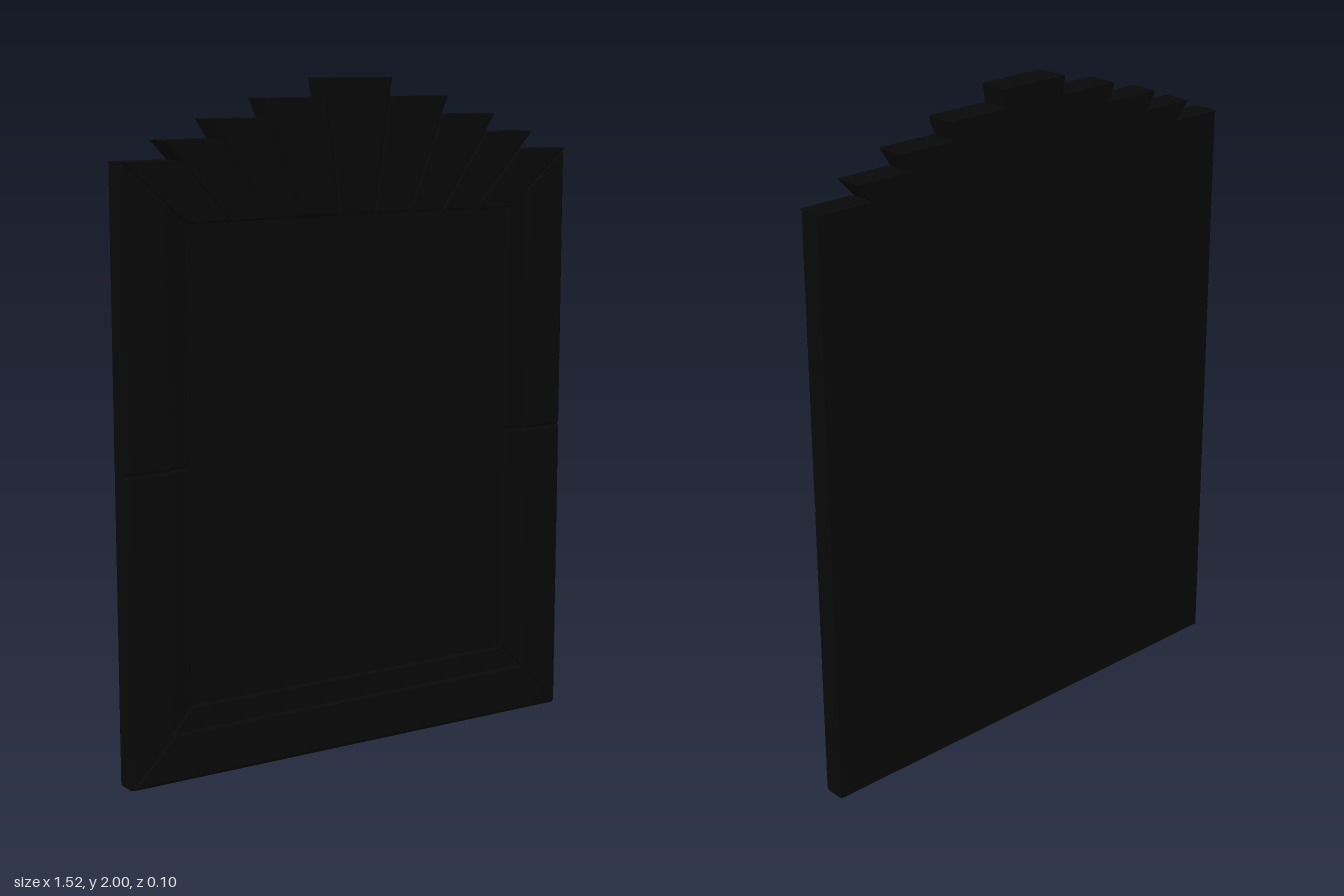
import * as THREE from 'three';

const BACK = -0.037, FRONT = 0.038, BEVEL = 0.006;
const material = new THREE.MeshStandardMaterial({ color: 0x080808 });

// Block swept from end line a to end line b (each [outer, inner], counterclockwise
// round the frame). Profile points are [t across the frame, z]; both ends are chamfered.
function block(name, a, b, profile) {
  const lerp = THREE.MathUtils.lerp;
  const at = (line, t, k) => lerp(line[0][k], line[1][k], t);
  const length = Math.hypot(at(b, 0.5, 0) - at(a, 0.5, 0), at(b, 0.5, 1) - at(a, 0.5, 1));
  const d = 0.008 / length;
  const rings = [0, d, 1 - d, 1].map((v) => profile.map(([t, z]) => [
    lerp(at(a, t, 0), at(b, t, 0), v),
    lerp(at(a, t, 1), at(b, t, 1), v),
    z > 0 && (v === 0 || v === 1) ? z - BEVEL : z,
  ]));
  const pos = [];
  const tri = (...pts) => pts.forEach((p) => pos.push(...p));
  const n = profile.length;
  for (let i = 0; i < 3; i++) {
    for (let j = 0; j < n; j++) {
      const k = (j + 1) % n, p = rings[i], q = rings[i + 1];
      tri(p[j], q[j], q[k]);
      tri(p[j], q[k], p[k]);
    }
  }
  for (let j = 1; j < n - 1; j++) {
    tri(rings[0][0], rings[0][j], rings[0][j + 1]);
    tri(rings[3][0], rings[3][j + 1], rings[3][j]);
  }
  const geometry = new THREE.BufferGeometry();
  geometry.setAttribute('position', new THREE.Float32BufferAttribute(pos, 3));
  geometry.computeVertexNormals();
  const mesh = new THREE.Mesh(geometry, material);
  mesh.name = name;
  return mesh;
}

const flip = (line) => line.map(([x, y]) => [-x, y]);

export function createModel() {
  const group = new THREE.Group();
  group.name = 'fanToppedMirror';
  const pair = (name, a, b, profile) => group.add(
    block(name + 'Left', a, b, profile),
    block(name + 'Right', flip(b), flip(a), profile),
  );

  // Stepped moulding of the rail and jambs
  const moulding = [
    [0, BACK], [0, FRONT - 0.009], [0.05, FRONT], [0.65, FRONT], [0.68, 0.027],
    [0.77, 0.025], [0.97, 0.019], [1, 0.012], [1, BACK],
  ];
  const bottomCorner = [[0.76, 0], [0.555, 0.215]];
  const middle = [[0.76, 0.915], [0.555, 0.915]];
  const topCorner = [[0.76, 1.78], [0.555, 1.605]];
  group.add(block('bottomRail', flip(bottomCorner), bottomCorner, moulding));
  pair('lowerJamb', bottomCorner, middle, moulding);
  pair('upperJamb', middle, topCorner, moulding);

  // Fan of wedges, stepping down and thinning away from the middle
  const rays = [[0.06, 0.1375], [0.18, 0.391], [0.3, 0.655], [0.42, 0.915], [0.555, 1.171]];
  const rayLine = ([x, slope], top) => [[x + slope * (top - 1.605), top], [x, 1.605]];
  rays.forEach((ray, i) => {
    const top = 2 - 0.055 * i;
    const half = FRONT + 0.011 * (top - 1.605) / 0.395;
    const profile = [[0, -half], [0, half], [0.97, FRONT], [1, FRONT - BEVEL], [1, BACK]];
    const outer = rayLine(ray, top);
    if (i === 0) group.add(block('centreWedge', outer, flip(outer), profile));
    else pair('fanWedge' + i, outer, rayLine(rays[i - 1], top), profile);
  });

  // Flat glass with its backing
  const glass = new THREE.Mesh(new THREE.BoxGeometry(1.11, 1.39, 0.049), material);
  glass.name = 'glassPanel';
  glass.position.set(0, 0.91, -0.0125);
  group.add(glass);
  return group;
}
